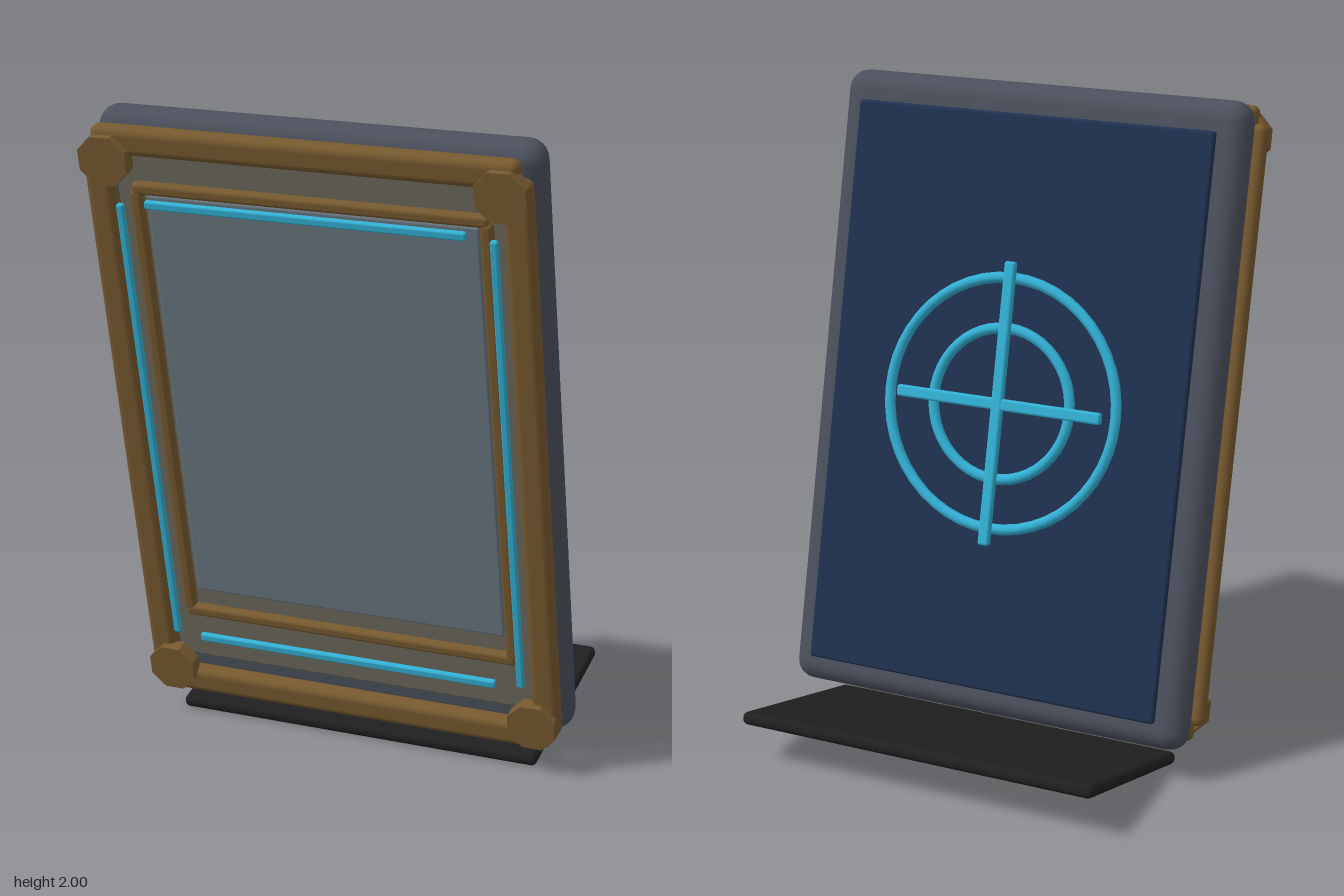
import * as THREE from 'three';
import { RoundedBoxGeometry } from 'three/addons/geometries/RoundedBoxGeometry.js';

const mat = (name, color) => {
  const m = new THREE.MeshStandardMaterial({ color });
  m.name = name;
  return m;
};

export function createModel() {
  const slate = mat('slate', 0x4b505c);
  const bronze = mat('bronze', 0x76592f);
  const navy = mat('navy', 0x1f3150);
  const cyan = mat('cyan', 0x32b0d4);
  const black = mat('black', 0x1f1f1f);
  const taupe = mat('taupe', 0x6c675d);
  const glass = mat('glass', 0x67757f);

  const model = new THREE.Group();
  model.name = 'tiltedDisplay';

  // Everything shares one lean: the top tips towards the front
  const body = new THREE.Group();
  body.name = 'leaningBody';
  body.position.set(0, 1.05, 0.16);
  body.rotation.x = THREE.MathUtils.degToRad(12);
  model.add(body);

  const add = (name, geometry, material, x, y, z) => {
    const mesh = new THREE.Mesh(geometry, material);
    mesh.name = name;
    mesh.position.set(x, y, z);
    body.add(mesh);
    return mesh;
  };
  const box = (name, material, w, h, d, r, x, y, z) =>
    add(name, new RoundedBoxGeometry(w, h, d, 3, r), material, x, y, z);

  // Main slab, back plate and foot
  box('slab', slate, 1.35, 1.94, 0.124, 0.06, 0, 0, 0);
  box('backPlate', navy, 1.19, 1.76, 0.025, 0.01, 0, -0.005, -0.081);
  box('foot', black, 1.18, 0.04, 0.62, 0.018, 0, -1.025, -0.17);

  // Front panel and screen
  box('frontPanel', taupe, 1.2, 1.735, 0.03, 0.01, 0, 0.005, 0.08);
  box('screen', glass, 1.01, 1.345, 0.02, 0.008, 0, 0.073, 0.101);

  // Screen bezel
  box('bezelTop', bronze, 1.08, 0.036, 0.036, 0.012, 0, 0.77, 0.113);
  box('bezelBottom', bronze, 1.08, 0.036, 0.036, 0.012, 0, -0.67, 0.113);

  const bossGeometry = new THREE.CylinderGeometry(0.08, 0.08, 0.045, 8)
    .rotateY(Math.PI / 8).rotateX(Math.PI / 2).toNonIndexed();
  bossGeometry.computeVertexNormals();

  for (const s of [-1, 1]) {
    // Outer frame rails, bezel sides and light strips
    box('bezelSide', bronze, 0.036, 1.43, 0.036, 0.012, s * 0.53, 0.05, 0.113);
    box('sideRail', bronze, 0.085, 1.82, 0.055, 0.024, s * 0.632, 0, 0.125);
    box('crossRail', bronze, 1.28, 0.085, 0.06, 0.024, 0, s * 0.922, 0.125);
    box('sideLight', cyan, 0.022, 1.47, 0.02, 0.006, s * 0.565, 0, 0.157);
    box('crossLight', cyan, 0.97, 0.025, 0.02, 0.006, 0, s * 0.74, 0.157);
    // Eight-sided corner bosses
    for (const t of [-1, 1]) add('cornerBoss', bossGeometry, bronze, s * 0.595, t * 0.87, 0.153);
  }

  // Crosshair emblem on the back
  for (const r of [0.383, 0.23]) {
    add('backRing', new THREE.TorusGeometry(r, 0.017, 8, 48), cyan, 0, 0, -0.108);
  }
  box('backBarVertical', cyan, 0.036, 0.865, 0.026, 0.008, 0, 0, -0.131);
  box('backBarHorizontal', cyan, 0.69, 0.036, 0.026, 0.008, 0, 0, -0.129);

  return model;
}
